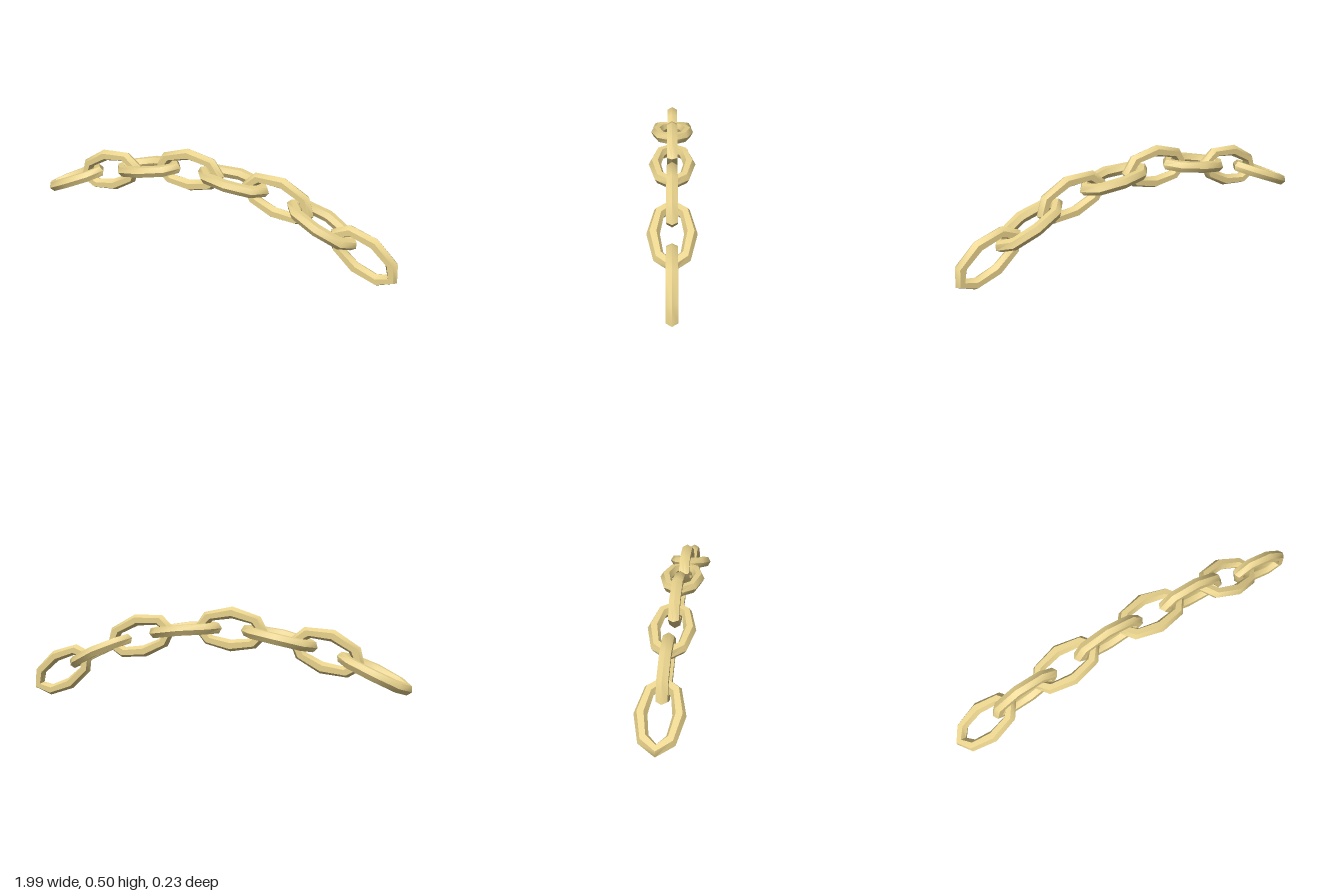
import * as THREE from 'three';
import { toCreasedNormals } from 'three/addons/utils/BufferGeometryUtils.js';

const LINKS = 8;
const TUBE = 0.03;                     // hexagonal bar radius
const HALF_LENGTH = 0.167, HALF_WIDTH = 0.083; // to the middle of the bar
const END = HALF_LENGTH + TUBE;

// Arched centreline that the chain hangs along
const path = new THREE.CatmullRomCurve3([
  [-0.998, 0.13], [-0.82, 0.217], [-0.59, 0.307], [-0.35, 0.37], [-0.113, 0.4],
  [0.137, 0.394], [0.377, 0.35], [0.6, 0.273], [0.827, 0.15], [0.994, 0.044],
].map(([x, y]) => new THREE.Vector3(x, y, 0)));

// Eight-sided oval ring of hexagonal bar, long along x
function linkGeometry(flat) {
  const geo = new THREE.TorusGeometry(HALF_WIDTH, TUBE, 6, 8);
  const pos = geo.attributes.position;
  for (let i = 0; i < pos.count; i++) {
    const x = pos.getX(i), y = pos.getY(i);
    pos.setX(i, x + (HALF_LENGTH - HALF_WIDTH) * x / Math.hypot(x, y));
  }
  if (flat) geo.rotateX(Math.PI / 2);
  return geo;
}

// Bends a link so that its long axis follows the path
function bend(geo, centre, length) {
  const pos = geo.attributes.position;
  for (let i = 0; i < pos.count; i++) {
    const u = THREE.MathUtils.clamp((centre + pos.getX(i)) / length, 0, 1);
    const p = path.getPointAt(u), t = path.getTangentAt(u), side = pos.getY(i);
    pos.setXYZ(i, p.x - t.y * side, p.y + t.x * side, pos.getZ(i));
  }
  return toCreasedNormals(geo, THREE.MathUtils.degToRad(50));
}

export function createModel() {
  const chain = new THREE.Group();
  chain.name = 'chain';
  const material = new THREE.MeshStandardMaterial({ color: 0xe8d28c });
  const length = path.getLength();
  const pitch = (length - 2 * END) / (LINKS - 1);

  // Links alternate between lying flat and standing upright
  for (let i = 0; i < LINKS; i++) {
    const flat = i % 2 === 0;
    const link = new THREE.Mesh(bend(linkGeometry(flat), END + i * pitch, length), material);
    link.name = (flat ? 'flatLink' : 'uprightLink') + (i + 1);
    chain.add(link);
  }

  // Stand the chain on the ground
  chain.position.y = -new THREE.Box3().setFromObject(chain).min.y;
  return chain;
}
